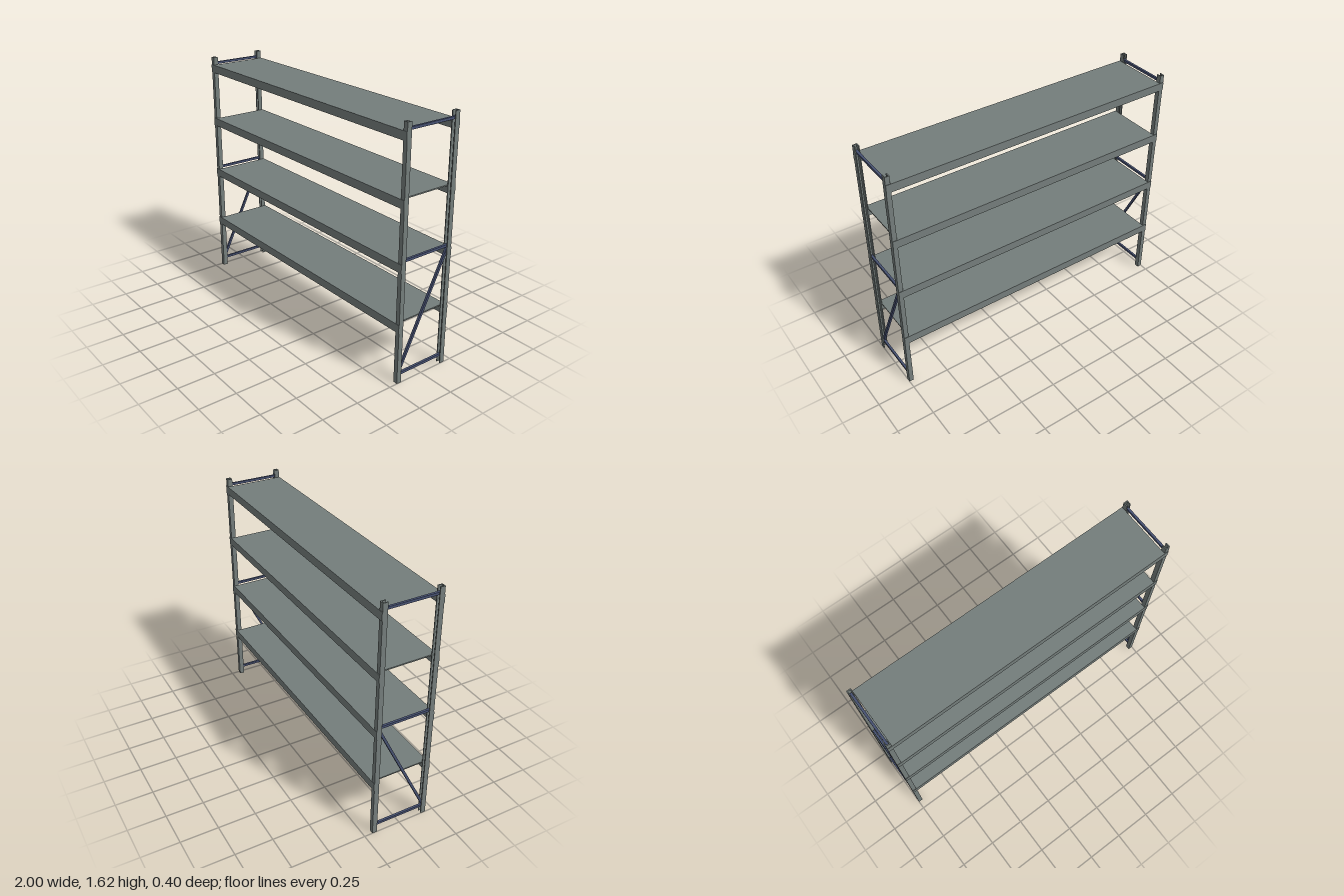
import * as THREE from 'three';

const grey = new THREE.MeshStandardMaterial({ color: 0x747d7b });
grey.name = 'galvanisedGrey';
const navy = new THREE.MeshStandardMaterial({ color: 0x465070 });
navy.name = 'braceNavy';

const HEIGHT = 1.615;
const POST_W = 0.03;    // post width in x
const Z_OUT = 0.195;    // outer face of the posts
const Z_IN = 0.163;     // inner edge of the posts
const SHELF_TOPS = [0.4, 0.787, 1.175, 1.563];

function box(parent, name, material, size, pos) {
  const mesh = new THREE.Mesh(new THREE.BoxGeometry(...size), material);
  mesh.name = name;
  mesh.position.set(...pos);
  parent.add(mesh);
  return mesh;
}

// Upright with a U-shaped section, open towards the rack's inside
function makePost(side, end) {
  const w = POST_W / 2, d = Z_OUT - Z_IN, t = 0.006;
  const section = new THREE.Shape([
    [-w, 0], [w, 0], [w, d], [w - t, d], [w - t, t], [-w + t, t], [-w + t, d], [-w, d],
  ].map(([x, y]) => new THREE.Vector2(x, y)));
  const geometry = new THREE.ExtrudeGeometry(section, { depth: HEIGHT, bevelEnabled: false });
  geometry.rotateX(-Math.PI / 2); // section depth now runs to -z, length runs up
  const post = new THREE.Mesh(geometry, grey);
  post.name = 'post';
  if (end < 0) post.rotation.y = Math.PI;
  post.position.set(side * (1 - w), 0, end * Z_OUT);
  return post;
}

// End frame: two posts, cross braces and one diagonal
function makeEndFrame(side) {
  const frame = new THREE.Group();
  frame.name = side > 0 ? 'leftEndFrame' : 'rightEndFrame';
  for (const end of [1, -1]) frame.add(makePost(side, end));

  const x = side * 0.985;
  for (const y of [0.057, 0.8, 1.573]) {
    box(frame, 'crossBrace', navy, [0.015, 0.016, 0.37], [x, y, 0]);
  }
  const low = new THREE.Vector3(x, 0.07, 0.175);
  const high = new THREE.Vector3(x, 0.785, -0.175);
  const diagonal = box(frame, 'diagonalBrace', navy, [0.015, 0.016, low.distanceTo(high)],
    low.clone().add(high).multiplyScalar(0.5).toArray());
  diagonal.lookAt(high);
  return frame;
}

// Shelf level: deck, two long beams and the plates that hook onto the posts
function makeShelf(top) {
  const shelf = new THREE.Group();
  shelf.name = 'shelfLevel';
  const length = 2 * (1 - POST_W), beamH = 0.054;
  box(shelf, 'deck', grey, [length, 0.008, 0.34], [0, top - 0.004, 0]);
  for (const end of [1, -1]) {
    box(shelf, 'beam', grey, [length, beamH, 0.03], [0, top - beamH / 2, end * 0.183]);
    for (const side of [1, -1]) {
      box(shelf, 'beamConnector', grey, [POST_W, beamH, 0.004],
        [side * (1 - POST_W / 2), top - beamH / 2, end * 0.196]);
    }
  }
  return shelf;
}

export function createModel() {
  const rack = new THREE.Group();
  rack.name = 'storageRack';
  for (const side of [1, -1]) rack.add(makeEndFrame(side));
  for (const top of SHELF_TOPS) rack.add(makeShelf(top));
  return rack;
}
